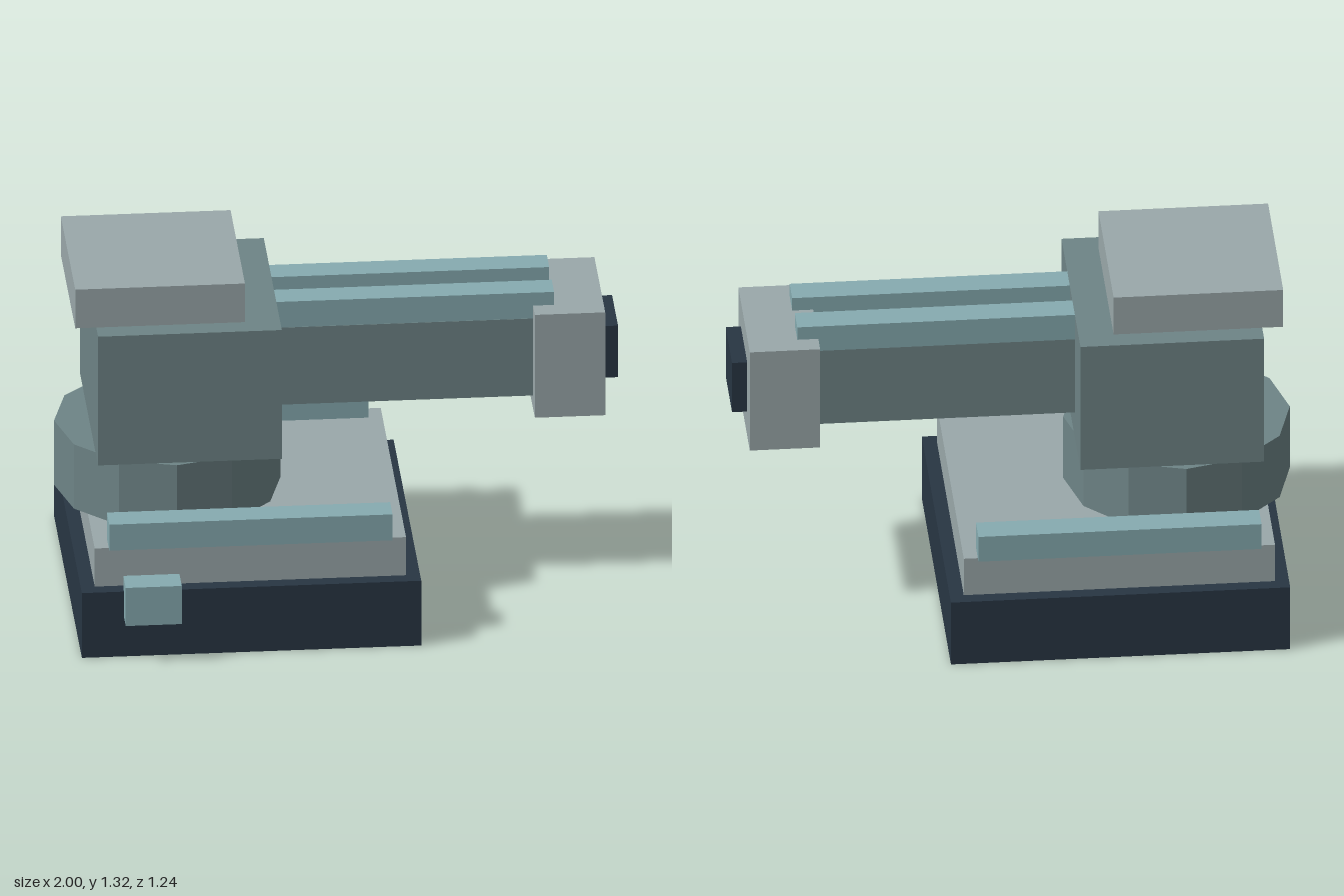
import * as THREE from 'three';

const material = (color) => new THREE.MeshStandardMaterial({ color, flatShading: true });
const dark = material(0x283643);
const light = material(0x9aa8aa);
const mid = material(0x6e8486);
const trim = material(0x86abb0);

// Box given by its [min, max] extent on each axis
function box(name, mat, [x0, x1], [y0, y1], [z0, z1]) {
  const mesh = new THREE.Mesh(new THREE.BoxGeometry(x1 - x0, y1 - y0, z1 - z0), mat);
  mesh.position.set((x0 + x1) / 2, (y0 + y1) / 2, (z0 + z1) / 2);
  mesh.name = name;
  return mesh;
}

export function createModel() {
  const model = new THREE.Group();
  model.name = 'turret';
  const axisZ = -0.04; // centre line of everything but the side box

  // Stepped base
  model.add(
    box('base', dark, [-0.95, 0.26], [0, 0.255], [-0.62, 0.545]),
    box('deck', light, [-0.9, 0.21], [0.255, 0.405], [-0.572, 0.495]),
    box('sideBox', trim, [-0.8, -0.6], [0.155, 0.305], [0.52, 0.62])
  );

  // Twelve-sided turning collar
  const collar = new THREE.Mesh(new THREE.CylinderGeometry(0.404, 0.404, 0.253, 12), mid);
  collar.position.set(-0.596, 0.5315, axisZ);
  collar.name = 'collar';
  model.add(collar);

  // Turret head and roof
  model.add(
    box('head', mid, [-0.875, -0.22], [0.658, 1.165], [-0.417, 0.342]),
    box('roof', light, [-0.95, -0.345], [1.165, 1.317], [-0.34, 0.266])
  );

  // Barrel, muzzle block and tip
  model.add(
    box('barrel', mid, [-0.22, 0.695], [0.762, 1.065], [-0.19, 0.115]),
    box('muzzle', light, [0.695, 0.946], [0.71, 1.115], [-0.266, 0.19]),
    box('muzzleTip', dark, [0.946, 1], [0.81, 1.013], [-0.162, 0.09])
  );

  // Mirrored pairs of rails on the deck and on the barrel
  for (const side of [-1, 1]) {
    const span = (a, b) => [axisZ + side * a, axisZ + side * b].sort((p, q) => p - q);
    model.add(
      box('deckRail', trim, [-0.85, 0.16], [0.405, 0.507], span(0.456, 0.557)),
      box('barrelRail', trim, [-0.22, 0.77], [1.065, 1.166], span(0.052, 0.153))
    );
  }
  return model;
}
